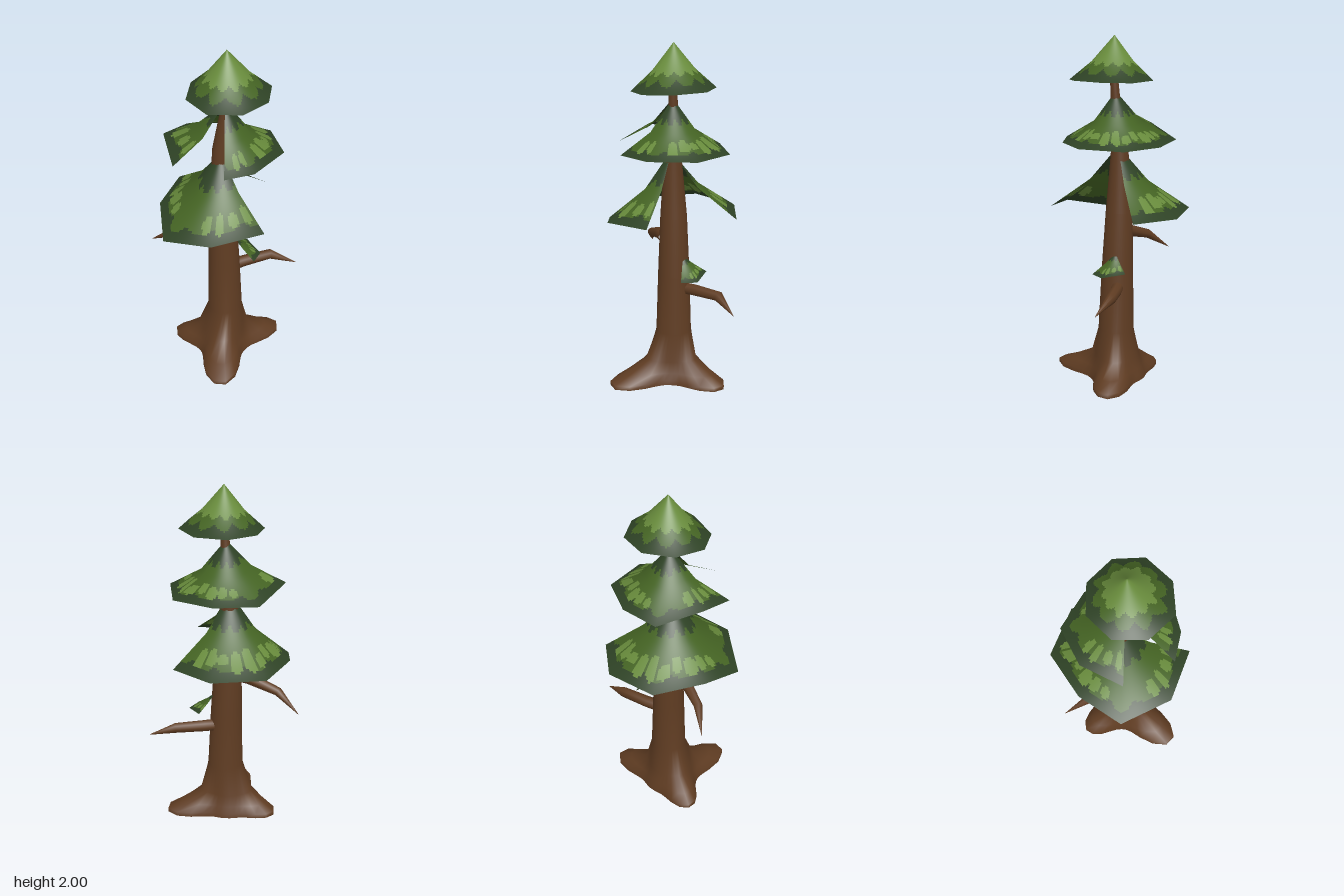
import * as THREE from 'three';

const V = (x, y, z) => new THREE.Vector3(x, y, z);
const material = (name, color, side = THREE.DoubleSide) => {
  const m = new THREE.MeshStandardMaterial({ color, side });
  m.name = name;
  return m;
};

// Repeatable noise in 0..1
const hash = (a, b) => {
  const s = Math.sin(a * 127.1 + b * 311.7) * 43758.5453;
  return s - Math.floor(s);
};

// Skin over a list of closed rings, each with the same number of points
function loft(rings) {
  const n = rings[0].length, pos = [], idx = [];
  rings.forEach(r => r.forEach(p => pos.push(p.x, p.y, p.z)));
  for (let r = 0; r + 1 < rings.length; r++) {
    for (let i = 0; i < n; i++) {
      const a = r * n + i, b = r * n + (i + 1) % n, c = a + n, d = b + n;
      idx.push(a, c, b, b, c, d);
    }
  }
  const g = new THREE.BufferGeometry();
  g.setAttribute('position', new THREE.Float32BufferAttribute(pos, 3));
  g.setIndex(idx);
  g.computeVertexNormals();
  return g;
}

// Trunk flaring into three roots: [angle, reach]
const ROOTS = [[1.473, 0.41], [-0.5, 0.375], [3.3, 0.305]];
function trunkGeometry() {
  const n = 36;
  // y, centre x, centre z, radius, root spread
  const levels = [
    [0, 0, 0, 0, 0], [0, 0, 0, 0.17, 1], [0, 0, 0, 0.17, 1], [0.025, 0, 0, 0.165, 1],
    [0.065, 0, 0, 0.15, 0.6], [0.13, 0.002, 0, 0.13, 0.14], [0.3, 0.015, -0.004, 0.103, 0],
    [0.65, 0.007, -0.008, 0.092, 0], [1, -0.004, -0.012, 0.077, 0], [1.4, -0.013, -0.01, 0.046, 0],
    [1.65, 0.015, 0, 0.027, 0], [1.78, 0.022, 0.004, 0.022, 0], [1.9, 0.022, 0, 0.008, 0],
  ];
  return loft(levels.map(([y, cx, cz, r, spread]) => Array.from({ length: n }, (_, i) => {
    const t = i / n * Math.PI * 2;
    let rad = r;
    for (const [angle, reach] of ROOTS) {
      rad += spread * (reach - r) * Math.max(0, Math.cos(t - angle)) ** 10;
    }
    return V(cx + rad * Math.cos(t), y, cz + rad * Math.sin(t));
  })));
}

// Bare branch along a few points with tapering radii
function branchGeometry(points, radii) {
  const n = 8;
  return loft(points.map((p, k) => {
    const dir = points[Math.min(k + 1, points.length - 1)].clone()
      .sub(points[Math.max(k - 1, 0)]).normalize();
    const side = dir.clone().cross(V(0, 1, 0)).normalize();
    const up = side.clone().cross(dir);
    return Array.from({ length: n }, (_, i) => {
      const t = i / n * Math.PI * 2;
      return p.clone().addScaledVector(side, radii[k] * Math.cos(t)).addScaledVector(up, radii[k] * Math.sin(t));
    });
  }));
}

// Colour rules (0 dark, 1 mid, 2 light); s counts sectors, t runs from top to rim
function crownColour(s, t) {
  const bump = Math.abs(Math.sin(s * Math.PI * 1.25 + 0.4));
  if (t < 0.5 + 0.1 * Math.abs(Math.sin(s * Math.PI * 1.5))) return 2;
  return t < 0.68 + 0.16 * bump ? 1 : 0;
}
function skirtColour(s, t) {
  if (t < 0.24 + 0.08 * Math.abs(Math.sin(s * Math.PI * 1.5))) return 0;
  const k = Math.floor(s * 3), du = s * 3 - k - 0.5;
  const centre = 0.67 + 0.08 * hash(k, 2), half = 0.07 + 0.1 * hash(k, 3);
  const width = 0.28 + 0.18 * hash(k, 4);
  if (hash(k, 5) > 0.12 && (du / width) ** 2 + ((t - centre) / half) ** 4 < 1) return 2;
  return t < 0.78 + 0.09 * Math.abs(Math.cos(s * Math.PI * 1.5)) ? 1 : 0;
}

// Drooping skirt of needles from an apex, over a bent profile, to a list of rim points
function foliageGeometry({ apex, rim, closed, bend, drop, top = 0, rule }) {
  const U = 16, T = 28, sectors = closed ? rim.length : rim.length - 1;
  const cols = sectors * U + 1;
  const pos = [], nor = [], groups = [[], [], []];
  for (let j = 0; j <= T; j++) {
    const t = j / T;
    const f = t < bend ? t / bend * drop : drop + (t - bend) / (1 - bend) * (1 - drop);
    const h = top + (1 - top) * t;
    const slope = THREE.MathUtils.lerp(1.25, 0.55, t);
    for (let i = 0; i < cols; i++) {
      const k = Math.min(Math.floor(i / U), sectors - 1);
      const p = rim[k].clone().lerp(rim[(k + 1) % rim.length], i / U - k).sub(apex);
      pos.push(apex.x + p.x * h, apex.y + p.y * f, apex.z + p.z * h);
      const r = Math.hypot(p.x, p.z);
      const q = V(p.x / r * slope, 1, p.z / r * slope).normalize();
      nor.push(q.x, q.y, q.z);
    }
  }
  for (let j = 0; j < T; j++) {
    for (let i = 0; i + 1 < cols; i++) {
      const a = j * cols + i, c = a + cols;
      groups[rule((i + 0.5) / U, (j + 0.5) / T)].push(a, a + 1, c, a + 1, c + 1, c);
    }
  }
  const g = new THREE.BufferGeometry();
  g.setAttribute('position', new THREE.Float32BufferAttribute(pos, 3));
  g.setAttribute('normal', new THREE.Float32BufferAttribute(nor, 3));
  g.setIndex(groups.flat());
  let start = 0;
  groups.forEach((list, m) => { g.addGroup(start, list.length, m); start += list.length; });
  return g;
}

export function createModel() {
  const model = new THREE.Group();
  model.name = 'pineTree';
  const bark = material('bark brown', 0x5f3c22, THREE.FrontSide);
  const greens = [
    material('dark needle green', 0x2e4225),
    material('needle green', 0x446323),
    material('light needle green', 0x678a3b),
  ];
  const add = (name, geometry, mat) => {
    const mesh = new THREE.Mesh(geometry, mat);
    mesh.name = name;
    model.add(mesh);
  };

  add('trunkAndRoots', trunkGeometry(), bark);

  // Bare branches
  add('rightBranch', branchGeometry(
    [V(-0.03, 0.87, 0.03), V(-0.12, 0.86, 0.02), V(-0.3, 0.805, 0), V(-0.435, 0.705, -0.06)],
    [0.04, 0.036, 0.026, 0.001]), bark);
  add('leftBranch', branchGeometry(
    [V(0.03, 0.565, -0.03), V(0.12, 0.57, -0.09), V(0.27, 0.575, -0.17), V(0.43, 0.515, -0.185)],
    [0.036, 0.034, 0.03, 0.001]), bark);

  // Foliage tiers, top to bottom; the open ones leave a gap in the skirt
  add('topFoliage', foliageGeometry({
    apex: V(0.022, 2, 0), closed: true, bend: 0.5, drop: 0.58, rule: crownColour,
    rim: [V(0.255, 1.76, 0.1), V(0.135, 1.75, 0.235), V(-0.055, 1.735, 0.225), V(-0.185, 1.745, 0.095),
      V(-0.185, 1.755, -0.085), V(-0.055, 1.755, -0.21), V(0.13, 1.755, -0.21), V(0.255, 1.76, -0.09)],
  }), greens);
  add('middleFoliage', foliageGeometry({
    apex: V(0.012, 1.69, 0), closed: false, bend: 0.43, drop: 0.62, rule: skirtColour,
    rim: [V(-0.24, 1.41, 0.23), V(-0.33, 1.475, 0), V(-0.24, 1.41, -0.24), V(0, 1.4, -0.3),
      V(0.245, 1.4, -0.24), V(0.34, 1.405, 0), V(0.2, 1.4, 0.235), V(0.05, 1.41, 0.33)],
  }), greens);
  add('lowerFoliage', foliageGeometry({
    apex: V(-0.01, 1.345, 0), closed: false, bend: 0.37, drop: 0.5, top: 0.07, rule: skirtColour,
    rim: [V(0.265, 1.04, 0.27), V(-0.015, 1.01, 0.39), V(-0.3, 0.938, 0.27), V(-0.365, 1.01, 0),
      V(-0.3, 1.01, -0.295), V(-0.015, 1.01, -0.41), V(0.235, 1.01, -0.295)],
  }), greens);
  add('smallFrond', foliageGeometry({
    apex: V(0.065, 0.77, -0.04), closed: false, bend: 0.45, drop: 0.5, rule: skirtColour,
    rim: [V(0.13, 0.68, -0.16), V(0.22, 0.66, -0.06), V(0.19, 0.66, 0.03)],
  }), greens);

  return model;
}
